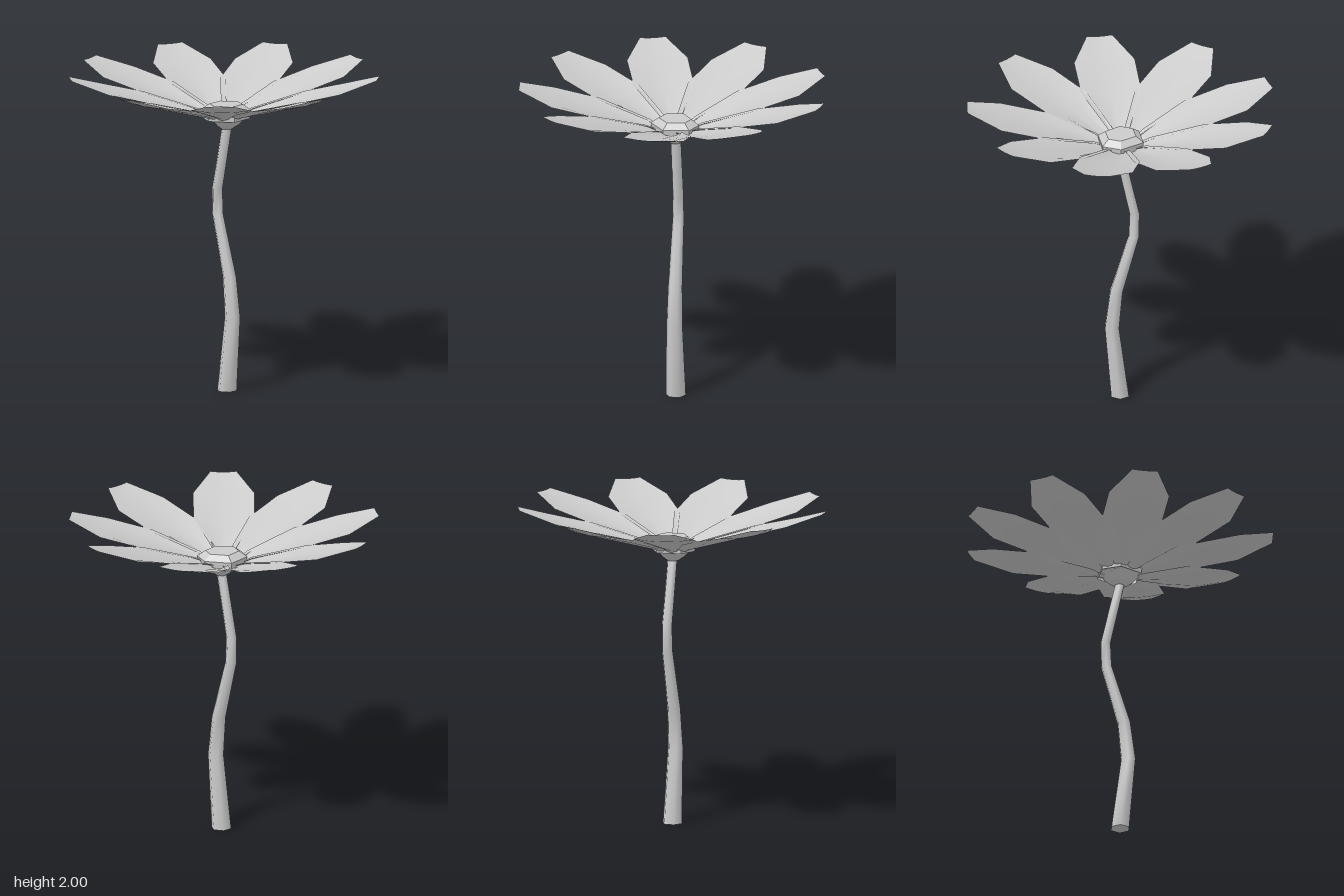
import * as THREE from 'three';

const material = new THREE.MeshStandardMaterial({ color: 0xcccccc, side: THREE.DoubleSide });

// Skin a list of equally long cross-sections; closed joins each section into a ring.
function loft(rows, { closed = true, flat = false } = {}) {
  const n = rows[0].length, index = [];
  for (let i = 0; i < rows.length - 1; i++) {
    for (let j = 0; j < (closed ? n : n - 1); j++) {
      const a = i * n + j, b = i * n + ((j + 1) % n), c = a + n, d = b + n;
      index.push(a, c, b, b, c, d);
    }
  }
  let geometry = new THREE.BufferGeometry();
  geometry.setAttribute('position', new THREE.Float32BufferAttribute(rows.flat(2), 3));
  geometry.setIndex(index);
  if (flat) geometry = geometry.toNonIndexed();
  geometry.computeVertexNormals();
  return geometry;
}

function ring(x, y, z, radius, sides = 6) {
  return Array.from({ length: sides }, (_, j) => {
    const a = (j / sides) * Math.PI * 2;
    return [x + Math.cos(a) * radius, y, z + Math.sin(a) * radius];
  });
}

function part(name, geometry) {
  const mesh = new THREE.Mesh(geometry, material);
  mesh.name = name;
  return mesh;
}

export function createModel() {
  const group = new THREE.Group();
  group.name = 'flower';

  // Bent, tapering stem: height, z offset, radius
  const stem = [
    [0, -0.01, 0.063], [0.47, 0.04, 0.05], [0.72, 0.013, 0.044],
    [1.1, -0.095, 0.036], [1.26, -0.1, 0.034], [1.68, -0.008, 0.032],
  ];
  group.add(part('stem', loft(stem.map(([y, z, r]) => ring(0.018, y, z, r)))));
  group.add(part('stemEnd', loft([ring(0.018, 0, -0.01, 0), ring(0.018, 0, -0.01, 0.063)], { flat: true })));

  // Cup under the petals
  const cup = [[1.655, 0], [1.655, 0.036], [1.685, 0.08], [1.74, 0.13]];
  group.add(part('cup', loft(cup.map(([y, r]) => ring(0.015, y, -0.01, r)))));

  // Slightly uneven six-sided centre with a bevelled rim and flat top
  const outline = [[0.15, 0], [0.105, 0.112], [-0.055, 0.137], [-0.155, 0], [-0.105, -0.118], [0.055, -0.143]];
  const centre = [[1.72, 0.95], [1.775, 1], [1.81, 0.67], [1.81, 0]];
  group.add(part('flowerCentre', loft(
    centre.map(([y, s]) => outline.map(([x, z]) => [0.015 + x * s, y, -0.012 + z * s])), { flat: true })));

  // Petal rows: distance out, half width, edge height, midrib height
  const rows = [
    [0.05, 0.03, 1.72, 1.70], [0.16, 0.075, 1.775, 1.745], [0.47, 0.188, 1.865, 1.835],
    [0.75, 0.19, 1.93, 1.915], [0.96, 0.08, 2, 1.995],
  ];
  const petalGeometry = loft(rows.map(([r, w, edge, mid]) =>
    [-1, -0.5, 0, 0.5, 1].map((t) => [t * w, mid + (edge - mid) * t * t, r])), { closed: false });
  const petals = new THREE.Group();
  petals.name = 'petals';
  petals.position.set(0.006, 0, -0.025);
  for (let i = 0; i < 9; i++) {
    const petal = part('petal', petalGeometry);
    petal.rotation.y = THREE.MathUtils.degToRad(-0.4 + 39.6 * i);
    petals.add(petal);
  }
  group.add(petals);
  return group;
}
